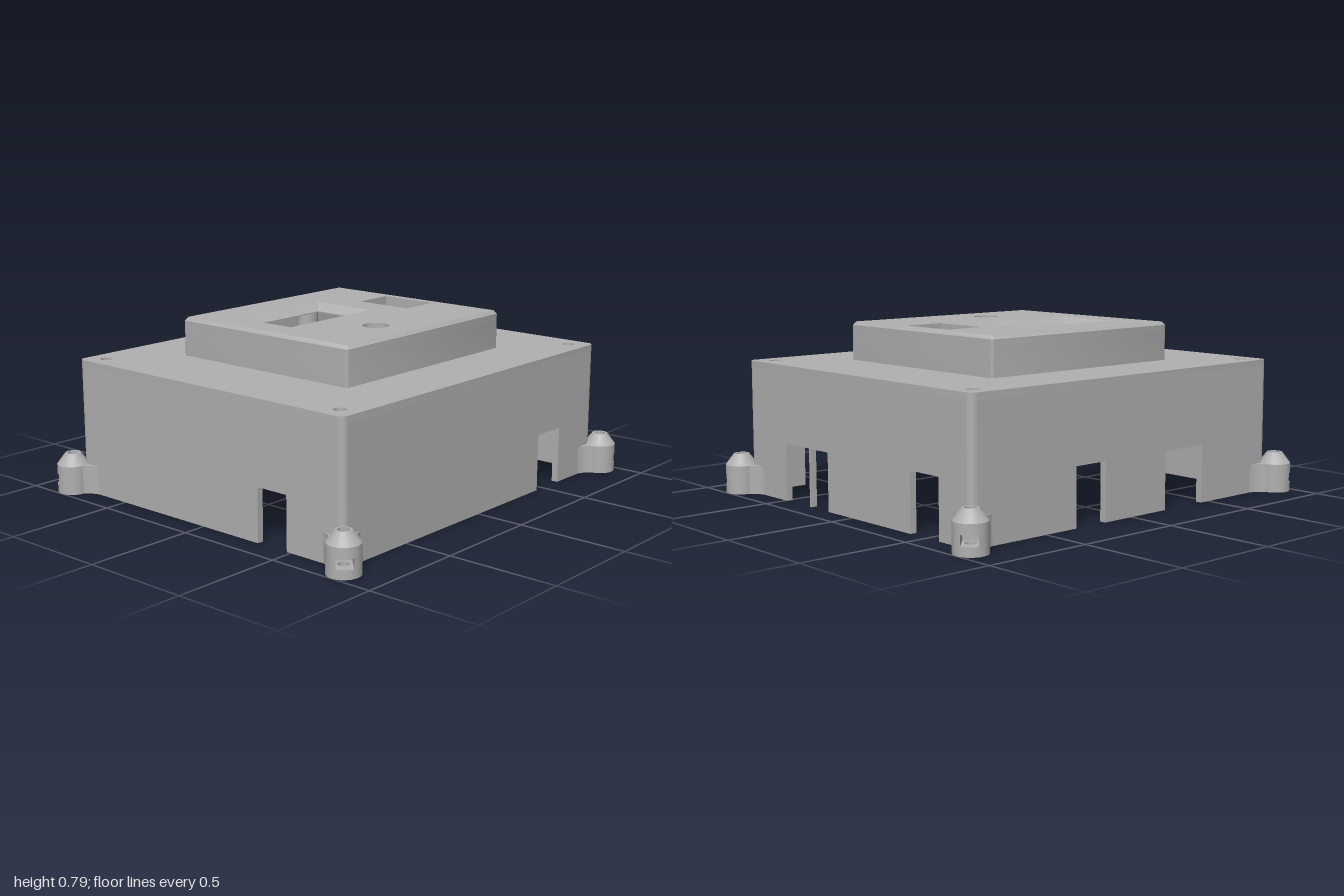
import * as THREE from 'three';
import { toCreasedNormals } from 'three/addons/utils/BufferGeometryUtils.js';

const W = 0.895, D = 0.778, T = 0.03;   // half width, half depth, wall thickness
const LID = 0.61, TOP = 0.785;          // heights of the lid and the raised cover

export function createModel() {
  const model = new THREE.Group();
  const grey = new THREE.MeshStandardMaterial({ color: 0xb0b0b0, side: THREE.DoubleSide });
  grey.name = 'grey plastic';

  const add = (name, geo, parent = model) => {
    const mesh = new THREE.Mesh(toCreasedNormals(geo, 0.5), grey);
    mesh.name = name;
    parent.add(mesh);
    return mesh;
  };

  // Outlines are lists of (x, z) points
  const P = (x, z) => new THREE.Vector2(x, z);
  const arc = (x, z, r, a0 = 0, a1 = Math.PI * 2, n = 32) =>
    Array.from({ length: n + 1 }, (_, i) => {
      const a = a0 + (a1 - a0) * i / n;
      return P(x + r * Math.cos(a), z + r * Math.sin(a));
    });
  const circle = (x, z, r) => arc(x, z, r).slice(0, -1);
  const rect = (x0, x1, z0, z1) => [P(x0, z0), P(x1, z0), P(x1, z1), P(x0, z1)];
  const rounded = (w, d, r) =>
    [[1, 1], [-1, 1], [-1, -1], [1, -1]].flatMap(([sx, sz], i) =>
      arc(sx * (w - r), sz * (d - r), r, i * Math.PI / 2, (i + 1) * Math.PI / 2, 6));

  // Horizontal slab between two heights
  const slab = (outline, holes, y0, y1) => {
    const flip = pts => pts.map(p => P(p.x, -p.y));
    const shape = new THREE.Shape(flip(outline));
    shape.holes = holes.map(h => new THREE.Path(flip(h)));
    return new THREE.ExtrudeGeometry(shape, { depth: y1 - y0, bevelEnabled: false })
      .rotateX(-Math.PI / 2).translate(0, y0, 0);
  };

  // Sloping skin from an outline at one height to a matching outline at another
  const loft = (low, y0, high, y1) => {
    const pos = [];
    low.forEach((a, i) => {
      const j = (i + 1) % low.length, b = low[j], c = high[j], d = high[i];
      pos.push(a.x, y0, a.y, c.x, y1, c.y, b.x, y0, b.y);
      pos.push(a.x, y0, a.y, d.x, y1, d.y, c.x, y1, c.y);
    });
    const geo = new THREE.BufferGeometry();
    geo.setAttribute('position', new THREE.Float32BufferAttribute(pos, 3));
    geo.computeVertexNormals();
    return geo;
  };

  // Upright wall with cable notches [from, to, height] along its length
  const wall = (half, notches) => {
    const pts = [P(-half, 0)];
    notches.forEach(([a, b, h]) => pts.push(P(a, 0), P(a, h), P(b, h), P(b, 0)));
    pts.push(P(half, 0), P(half, LID - T), P(-half, LID - T));
    return new THREE.ExtrudeGeometry(new THREE.Shape(pts), { depth: T, bevelEnabled: false });
  };
  const w = W - T, d = D - T;
  add('frontWall', wall(w, [[0.45, 0.62, 0.26]])).position.z = d;
  add('backWall', wall(w, [[-0.45, -0.21, 0.26], [0.16, 0.33, 0.26]])).position.z = -D;
  // side walls run along -z after the quarter turn
  const side = Math.PI / 2;
  add('leftWall', wall(d, [[-0.49, -0.31, 0.26], [-0.30, -0.17, 0.26], [0.40, 0.58, 0.26]])
    .rotateY(side)).position.x = w;
  add('rightWall', wall(d, [[-0.48, -0.32, 0.24]]).rotateY(side)).position.x = -W;

  // Lid with the opening under the raised cover and four screw holes
  const corners = [[1, 1], [-1, 1], [-1, -1], [1, -1]];
  const screws = corners.map(([sx, sz]) => circle(sx * 0.81, sz * 0.69, 0.027));
  add('lid', slab(rounded(W, D, T), [rect(-0.5, 0.5, -0.455, 0.455), ...screws], LID - T, LID));

  // Raised cover: side walls, top plate and chamfered rim
  const cover = new THREE.Group();
  cover.name = 'raisedCover';
  model.add(cover);
  const rim = rounded(0.53, 0.485, 0.015), rimTop = rounded(0.517, 0.472, 0.008);
  const windowOuter = rect(-0.39, 0.15, -0.29, 0.04);
  const windowInner = rect(-0.35, 0.11, -0.245, 0.0);
  const openings = [rect(0.29, 0.48, -0.14, 0.14), circle(-0.115, 0.29, 0.058)];
  add('coverWalls', slab(rim, [rect(-0.5, 0.5, -0.455, 0.455)], LID, 0.745), cover);
  add('coverPlate', slab(rim, [windowOuter, ...openings], 0.745, TOP - 0.015), cover);
  add('coverTop', slab(rimTop, [windowOuter, ...openings], TOP - 0.015, TOP), cover);
  add('coverChamfer', loft(rim, TOP - 0.015, rimTop, TOP), cover);
  add('windowBevel', loft(windowInner, 0.75, windowOuter, TOP), cover);
  add('windowLedge', slab(windowOuter, [windowInner], 0.745, 0.75), cover);

  // Standoffs hanging under the cover plate
  for (const x of [-0.43, 0.18]) for (const z of [-0.38, 0.38])
    add('standoff', new THREE.CylinderGeometry(0.05, 0.05, 0.12, 24).translate(x, 0.69, z), cover);

  // Disc with a nut slot opening towards the given angle
  const slotted = (x, z, r, half, angle) => {
    const a = Math.asin(half / r), c = Math.cos(angle), s = Math.sin(angle);
    const turn = (u, v) => P(x + u * c - v * s, z + u * s + v * c);
    return [...arc(x, z, r, angle + a, angle + Math.PI * 2 - a), turn(-0.035, -half), turn(-0.035, half)];
  };

  for (const [sx, sz] of corners) {
    const out = Math.atan2(sz, sx);

    // Rounded vertical edge of the box
    const edge = new THREE.Group();
    edge.name = 'corner';
    model.add(edge);
    add('cornerEdge', slab([P(sx * w, sz * d),
      ...arc(sx * w, sz * d, T, out - Math.PI / 4, out + Math.PI / 4, 8)], [], 0, LID - T), edge);

    // Mounting foot with a through hole, nut slot and conical top
    const fx = sx * 0.927, fz = sz * 0.81, R = 0.073, H = 0.025;
    const disc = circle(fx, fz, R), bore = circle(fx, fz, H);
    add('footBase', slab(disc, [bore], 0, 0.04), edge);
    add('footSlot', slab(slotted(fx, fz, R, 0.036, out), [], 0.04, 0.085), edge);
    add('footUpper', slab(disc, [bore], 0.085, 0.13), edge);
    add('footCone', new THREE.LatheGeometry(
      [P(R, 0.13), P(0.035, 0.18), P(H, 0.18), P(H, 0.13)], 32).translate(fx, 0, fz), edge);

    // Concave web that blends the foot into the box
    const curve = (a, b, c) => new THREE.QuadraticBezierCurve(P(...a), P(...b), P(...c)).getPoints(8);
    const web = [
      ...curve([0.893, 0.66], [0.9, 0.735], [0.967, 0.752]), P(0.888, 0.771),
      ...curve([0.867, 0.85], [0.852, 0.787], [0.78, 0.776]), P(0.875, 0.76),
    ].map(p => P(sx * p.x, sz * p.y));
    add('footWeb', slab(web, [], 0, 0.13), edge);

    // Screw pillar under the lid with an inward nut slot
    const px = sx * 0.81, pz = sz * 0.69;
    const pillar = circle(px, pz, 0.08), hole = circle(px, pz, 0.027);
    add('pillarLower', slab(pillar, [], 0.32, 0.49), edge);
    add('pillarSlot', slab(slotted(px, pz, 0.08, 0.045, out + Math.PI), [], 0.49, 0.54), edge);
    add('pillarUpper', slab(pillar, [hole], 0.54, LID - T), edge);
  }
  return model;
}
